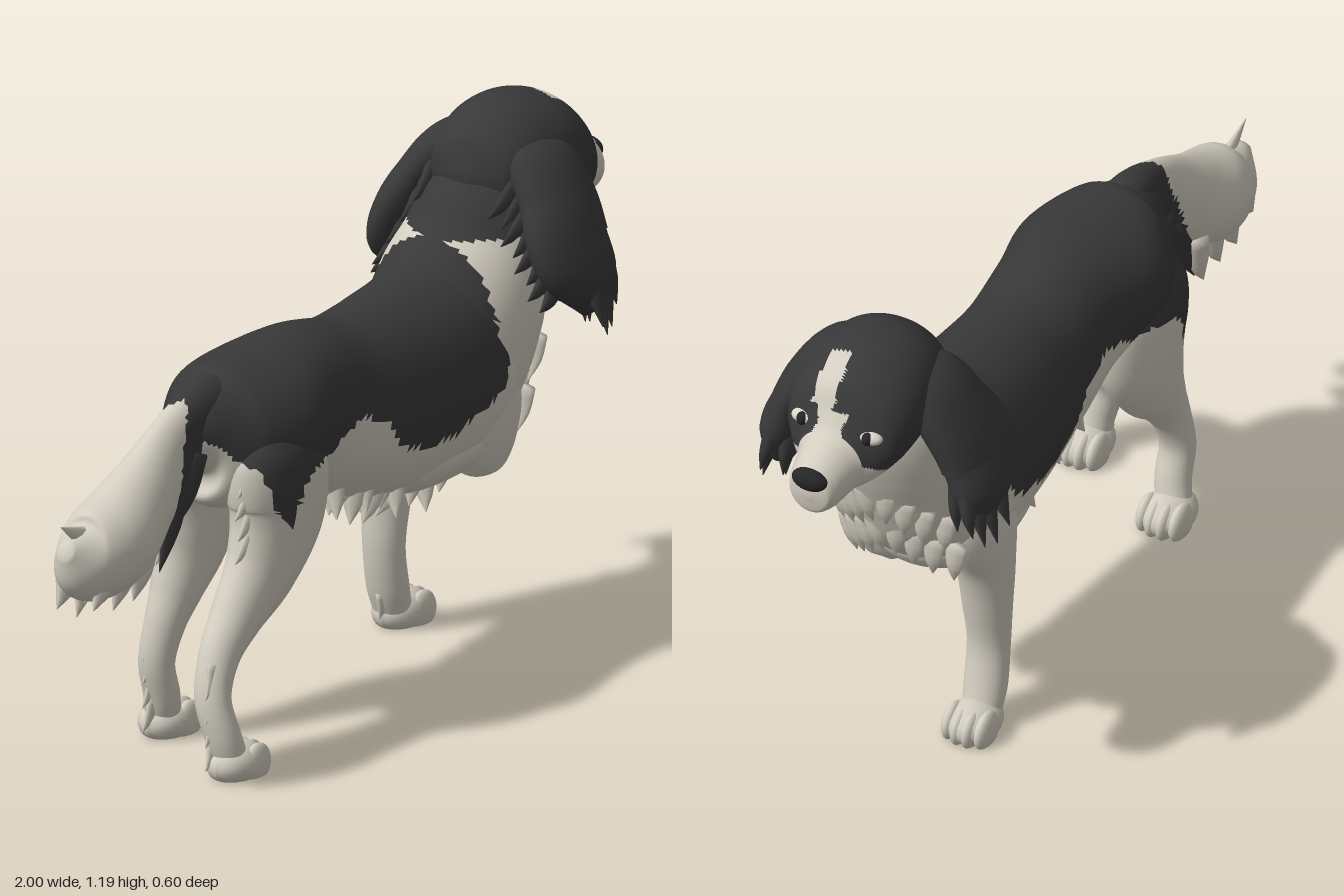
import * as THREE from 'three';

const mat = (name, color) => Object.assign(new THREE.MeshStandardMaterial({ color }), { name });
const white = mat('cream fur', 0xd2cdc0);
const black = mat('black fur', 0x383838);
const dark = mat('nose and pupils', 0x262626);
const eyeWhite = mat('eye white', 0xdad6ca);

const X = new THREE.Vector3(1, 0, 0), Z = new THREE.Vector3(0, 0, 1);

// Smooth skin through sections [x, y, z, radius across the side axis, radius along it];
// rings stand square to the path, or to a fixed axis when one is given
function loft(sections, side = Z, rings = 40, sides = 32, axis = null) {
  const path = new THREE.CatmullRomCurve3(sections.map(s => new THREE.Vector3(s[0], s[1], s[2])));
  const radii = new THREE.CatmullRomCurve3(sections.map(s => new THREE.Vector3(s[3], s[4], 0)), false, 'catmullrom', 0.5);
  const pos = [], index = [];
  for (let i = 0; i <= rings; i++) {
    const t = i / rings, c = path.getPoint(t), T = axis || path.getTangent(t), r = radii.getPoint(t);
    const S = side.clone().addScaledVector(T, -side.dot(T)).normalize();
    const U = new THREE.Vector3().crossVectors(T, S);
    for (let j = 0; j < sides; j++) {
      const a = j / sides * Math.PI * 2;
      const p = c.clone().addScaledVector(S, Math.cos(a) * Math.max(r.y, 0.001))
        .addScaledVector(U, Math.sin(a) * Math.max(r.x, 0.001));
      pos.push(p.x, p.y, p.z);
      if (i < rings) {
        const k = i * sides + j, n = i * sides + (j + 1) % sides;
        index.push(k, n, k + sides, n, n + sides, k + sides);
      }
    }
  }
  const end = (rings + 1) * sides, last = rings * sides;
  for (const t of [0, 1]) pos.push(...path.getPoint(t).toArray());
  for (let j = 0; j < sides; j++) {
    const n = (j + 1) % sides;
    index.push(end, n, j, end + 1, last + j, last + n);
  }
  const g = new THREE.BufferGeometry();
  g.setAttribute('position', new THREE.Float32BufferAttribute(pos, 3));
  g.setIndex(index);
  g.computeVertexNormals();
  return g;
}

// Sort faces into a white and a black group by a rule on the face centre
function paint(g, isBlack) {
  const p = g.attributes.position, idx = g.index.array, sets = [[], []];
  for (let i = 0; i < idx.length; i += 3) {
    const f = [idx[i], idx[i + 1], idx[i + 2]];
    const mid = k => (p.getComponent(f[0], k) + p.getComponent(f[1], k) + p.getComponent(f[2], k)) / 3;
    sets[isBlack(mid(0), mid(1), mid(2)) ? 1 : 0].push(...f);
  }
  g.setIndex([...sets[0], ...sets[1]]);
  g.addGroup(0, sets[0].length, 0);
  g.addGroup(sets[0].length, sets[1].length, 1);
  return g;
}

// Lower edge of the black saddle along the body
const saddle = [[-0.56, 0.76], [-0.46, 0.68], [-0.43, 0.57], [-0.39, 0.53], [-0.36, 0.6], [-0.3, 0.65], [-0.2, 0.64],
  [-0.1, 0.69], [0, 0.66], [0.04, 0.6], [0.1, 0.56], [0.2, 0.55], [0.3, 0.58], [0.4, 0.62], [0.43, 0.7]];
function onSaddle(x, y) {
  if (x > 0.43 - Math.max(0, y - 0.72) * 0.2 || x < -0.56) return false;
  const i = Math.max(1, saddle.findIndex(s => s[0] >= x));
  const [a, b] = [saddle[i - 1], saddle[i]];
  return y > a[1] + (b[1] - a[1]) * (x - a[0]) / (b[0] - a[0]) + 0.006 * Math.sin(x * 70);
}
// Black cap and eye patches, with a pale off-centre blaze
function onHead(x, y, z) {
  const jag = 0.004 * Math.sin(y * 130);
  if (y < 0.9 + (x - 0.74) * 0.5 || x > 0.885) return false;
  if (x < 0.76) return true;
  if (y < 1.045 - Math.abs(z) && x > 0.82) return false;
  if (y > 1.08) return z < 0.008 + jag || z > 0.064 + jag;
  return Math.abs(z - 0.008) > 0.034 + jag;
}
// Front surface of the chest
const chestX = (y, z) => 0.632 + (y - 0.6) * 0.42 - 0.17 * (1 - Math.sqrt(1 - (z / 0.19) ** 2));

export function createModel() {
  const dog = new THREE.Group();
  dog.name = 'dog';
  const add = (name, geometry, material, parent = dog) => {
    const m = new THREE.Mesh(geometry, material);
    m.name = name;
    parent.add(m);
    return m;
  };
  const ball = (name, material, p, s) => {
    const m = add(name, new THREE.SphereGeometry(1, 24, 16), material);
    m.position.set(...p);
    m.scale.set(...s);
  };
  // Pointed lock of hair from a to b; w is its depth in the xy plane, wz its width along z
  const tuft = (name, material, a, b, w, wz = w * 0.5) => add(name, loft([
    [...a, w * 0.8, wz], [a[0] * 0.5 + b[0] * 0.5 + 0.006, a[1] * 0.5 + b[1] * 0.5 - 0.006, (a[2] + b[2]) / 2, w * 0.65, wz * 0.7],
    [...b, 0.001, 0.001]], Z, 6, 8), material);

  // Trunk
  add('body', paint(loft([
    [-0.53, 0.70, 0, 0.04, 0.03], [-0.50, 0.715, 0, 0.11, 0.08], [-0.42, 0.71, 0, 0.16, 0.143], [-0.30, 0.715, 0, 0.162, 0.187],
    [-0.15, 0.70, 0, 0.187, 0.16], [0, 0.655, 0, 0.205, 0.16], [0.15, 0.635, 0, 0.225, 0.175], [0.30, 0.635, 0, 0.235, 0.19],
    [0.42, 0.645, 0, 0.235, 0.192], [0.51, 0.65, 0, 0.175, 0.165], [0.57, 0.66, 0, 0.1, 0.1], [0.6, 0.66, 0, 0.02, 0.02]],
    Z, 90, 64), onSaddle), [white, black]);
  add('breast', loft([
    [0.10, 0.50, 0, 0.03, 0.06], [0.20, 0.485, 0, 0.085, 0.13], [0.32, 0.49, 0, 0.096, 0.155], [0.43, 0.505, 0, 0.096, 0.155],
    [0.50, 0.53, 0, 0.075, 0.12], [0.54, 0.56, 0, 0.03, 0.05]], Z, 36, 32), white);

  // Chest and neck
  add('neck', paint(loft([
    [0.345, 0.46, 0, 0.05, 0.06], [0.37, 0.51, 0, 0.13, 0.14], [0.41, 0.595, 0, 0.185, 0.178], [0.455, 0.69, 0, 0.203, 0.19],
    [0.51, 0.78, 0, 0.19, 0.188], [0.565, 0.86, 0, 0.168, 0.172], [0.61, 0.95, 0, 0.145, 0.153], [0.64, 1.03, 0, 0.1, 0.12]],
    Z, 70, 48), (x, y) => y > 0.93 && x < 0.62 || (x < 0.4 && y > 0.72)), [white, black]);

  // Head with muzzle
  add('head', paint(loft([
    [0.505, 1.03, 0, 0.02, 0.02], [0.535, 1.035, 0, 0.085, 0.10], [0.61, 1.045, 0, 0.13, 0.138], [0.70, 1.045, 0, 0.141, 0.152],
    [0.78, 1.03, 0, 0.137, 0.15], [0.835, 1.008, 0, 0.12, 0.132], [0.862, 0.98, 0, 0.094, 0.106],
    [0.885, 0.962, 0, 0.078, 0.08], [0.925, 0.95, 0, 0.072, 0.068], [0.958, 0.943, 0, 0.064, 0.06], [0.98, 0.94, 0, 0.05, 0.046],
    [0.988, 0.94, 0, 0.01, 0.01]], Z, 110, 88, X), onHead), [white, black]);
  ball('nose', dark, [0.978, 0.973, 0], [0.022, 0.027, 0.043]);
  ball('chin', white, [0.92, 0.893, 0], [0.042, 0.022, 0.042]);

  for (const s of [1, -1]) {
    ball('eye', eyeWhite, [0.853, 1.036, s * 0.082], [0.02, 0.017, 0.03]);
    ball('pupil', dark, [0.864, 1.037, s * 0.081], [0.014, 0.016, 0.013]);

    // Hanging ear, widening downward, with ragged fringe
    add('ear', loft([
      [0.655, 1.10, s * 0.05, 0.03, 0.06], [0.645, 1.06, s * 0.115, 0.055, 0.1], [0.63, 0.98, s * 0.175, 0.058, 0.115],
      [0.612, 0.895, s * 0.215, 0.058, 0.125], [0.64, 0.815, s * 0.24, 0.055, 0.092], [0.66, 0.745, s * 0.24, 0.02, 0.035]],
      X, 40, 28), black);
    for (let i = 0; i < 9; i++) {
      const u = i / 8, v = (i * 4) % 9 / 8;
      tuft('ear fringe', black, [0.58 + u * 0.12, 0.86, s * (0.2 + v * 0.06)],
        [0.585 + u * 0.135, 0.775 - 0.085 * Math.sin(u * 2.7) + 0.015 * (i % 2), s * (0.205 + v * 0.095)], 0.03, 0.022);
    }
    // Hair behind the ear and on the nape
    for (let i = 0; i < 8; i++) tuft('ear back hair', black, [0.56, 1.03 - i * 0.03, s * (0.11 + i * 0.015)],
      [0.465 + 0.02 * (i % 2), 0.975 - i * 0.028, s * (0.1 + i * 0.018)], 0.032);
    // Collar of pale hair at the neck
    for (let i = 0; i < 4; i++) tuft('neck hair', white, [0.48, 0.9 - i * 0.07, s * (0.09 + i * 0.028)],
      [0.4, 0.875 - i * 0.08, s * (0.11 + i * 0.025)], 0.028);
    // Flat chest locks
    for (let i = 0; i < 8; i++) {
      const y = 0.76 - i * 0.027, z = 0.03 + 0.035 * (i % 4), tip = y - 0.11;
      tuft('chest hair', white, [chestX(y, z) - 0.012, y, s * z], [chestX(tip, z - 0.015) + 0.008, tip, s * (z - 0.015)], 0.014, 0.028);
    }
    // Belly fringe
    for (let i = 0; i < 22; i++) {
      const x = -0.17 + i * 0.028, tip = 0.36 + (x - 0.2) ** 2 + 0.018 * (i * 2 % 3);
      tuft('belly hair', white, [x + 0.015, tip + 0.1, s * 0.06], [x - 0.01, tip, s * (0.02 + 0.025 * (i % 4))], 0.03, 0.034);
    }
    // Breeches behind the thighs
    for (let i = 0; i < 5; i++) tuft('thigh hair', white, [-0.43, 0.69 - i * 0.05, s * 0.12],
      [-0.49 - 0.01 * (i % 2), 0.61 - i * 0.05, s * 0.11], 0.035);
  }

  // Paw with four shallow toes, flat underneath
  function paw(x, z) {
    const group = new THREE.Group();
    group.name = 'paw';
    dog.add(group);
    const lobe = (name, px, py, pz, sx, sy, sz) => {
      const g = new THREE.SphereGeometry(1, 24, 18).scale(sx, sy, sz).translate(px, py, pz);
      const p = g.attributes.position;
      for (let i = 0; i < p.count; i++) p.setY(i, Math.max(0, p.getY(i)));
      g.computeVertexNormals();
      add(name, g, white, group);
    };
    lobe('foot', x - 0.002, 0.03, z, 0.076, 0.05, 0.059);
    for (let i = 0; i < 4; i++) {
      const o = i - 1.5;
      lobe('toe', x + 0.036 - Math.abs(o) * 0.01, 0.028, z + o * 0.027, 0.046, 0.046, 0.02);
    }
  }

  // Standing foreleg on one side, short shoulder on the other
  add('foreleg', loft([
    [0.43, 0.66, -0.11, 0.09, 0.06], [0.425, 0.56, -0.12, 0.11, 0.07], [0.405, 0.43, -0.123, 0.07, 0.066],
    [0.395, 0.31, -0.122, 0.051, 0.058], [0.388, 0.2, -0.122, 0.042, 0.05], [0.405, 0.1, -0.124, 0.042, 0.05],
    [0.425, 0.04, -0.125, 0.04, 0.045]]), white);
  paw(0.458, -0.125);
  for (let i = 0; i < 4; i++) tuft('foreleg hair', white, [0.375, 0.3 - i * 0.07, -0.12], [0.346 + i * 0.007, 0.24 - i * 0.07, -0.12], 0.02);
  add('shoulder', loft([
    [0.43, 0.68, 0.1, 0.08, 0.06], [0.43, 0.57, 0.11, 0.11, 0.072], [0.435, 0.48, 0.105, 0.09, 0.068],
    [0.44, 0.42, 0.09, 0.06, 0.055], [0.445, 0.39, 0.085, 0.015, 0.015]]), white);

  // Hind legs, one set further forward; shift grows toward the foot
  for (const [s, shift, out] of [[1, 0, 0.152], [-1, 0.14, 0.13]]) {
    add('hind leg', paint(loft([
      [-0.33, 0.74, s * 0.09, 0.09, 0.06], [-0.335, 0.66, s * 0.1, 0.145, 0.09], [-0.335 + shift * 0.05, 0.54, s * 0.105, 0.14, 0.085],
      [-0.395 + shift * 0.2, 0.425, s * 0.105, 0.103, 0.07], [-0.49 + shift * 0.5, 0.335, s * 0.105, 0.066, 0.055],
      [-0.56 + shift * 0.75, 0.265, s * 0.11, 0.048, 0.045], [-0.597 + shift * 0.9, 0.18, s * 0.12, 0.038, 0.042],
      [-0.592 + shift, 0.1, s * (out - 0.01), 0.038, 0.042], [-0.575 + shift, 0.04, s * out, 0.038, 0.042]], Z, 70, 40),
      onSaddle), [white, black]);
    paw(-0.555 + shift, s * out);
    for (let i = 0; i < 4; i++) tuft('hock hair', white, [-0.6 + shift * 0.9, 0.26 - i * 0.055, s * 0.125],
      [-0.64 + shift * 0.92, 0.19 - i * 0.055, s * 0.13], 0.024);
  }

  // Feathered tail
  add('tail', paint(loft([
    [-0.36, 0.80, 0, 0.05, 0.06], [-0.47, 0.79, 0, 0.07, 0.055], [-0.58, 0.735, 0, 0.085, 0.05], [-0.70, 0.65, 0, 0.1, 0.075],
    [-0.82, 0.582, 0, 0.11, 0.098], [-0.92, 0.575, 0, 0.092, 0.07], [-0.985, 0.61, 0, 0.02, 0.02]], Z, 60, 36),
    (x, y, z) => x > -0.57 - (0.82 - y) * 0.36 + 0.01 * Math.sin(z * 90)), [white, black]);
  for (let i = 0; i < 7; i++) {
    const z = 0.03 * (i % 3 - 1);
    tuft('dark tail feather', black, [-0.5 - i * 0.02, 0.74 - i * 0.012, z],
      [-0.58 - i * 0.02, 0.62 - i * 0.028, z * 1.2], 0.05);
  }
  for (let i = 0; i < 10; i++) {
    const z = 0.04 * (i % 3 - 1);
    tuft('pale tail feather', white, [-0.70 - i * 0.022, 0.57, z],
      [-0.735 - i * 0.025, 0.42 + 0.025 * (i * 2 % 3) + Math.max(0, i - 7) * 0.02, z], 0.05, 0.03);
  }
  for (let i = 0; i < 3; i++) tuft('tail tip', white, [-0.9, 0.62 - i * 0.03, 0], [-1.0 + i * 0.01, 0.67 - i * 0.07, 0], 0.026);

  return dog;
}
